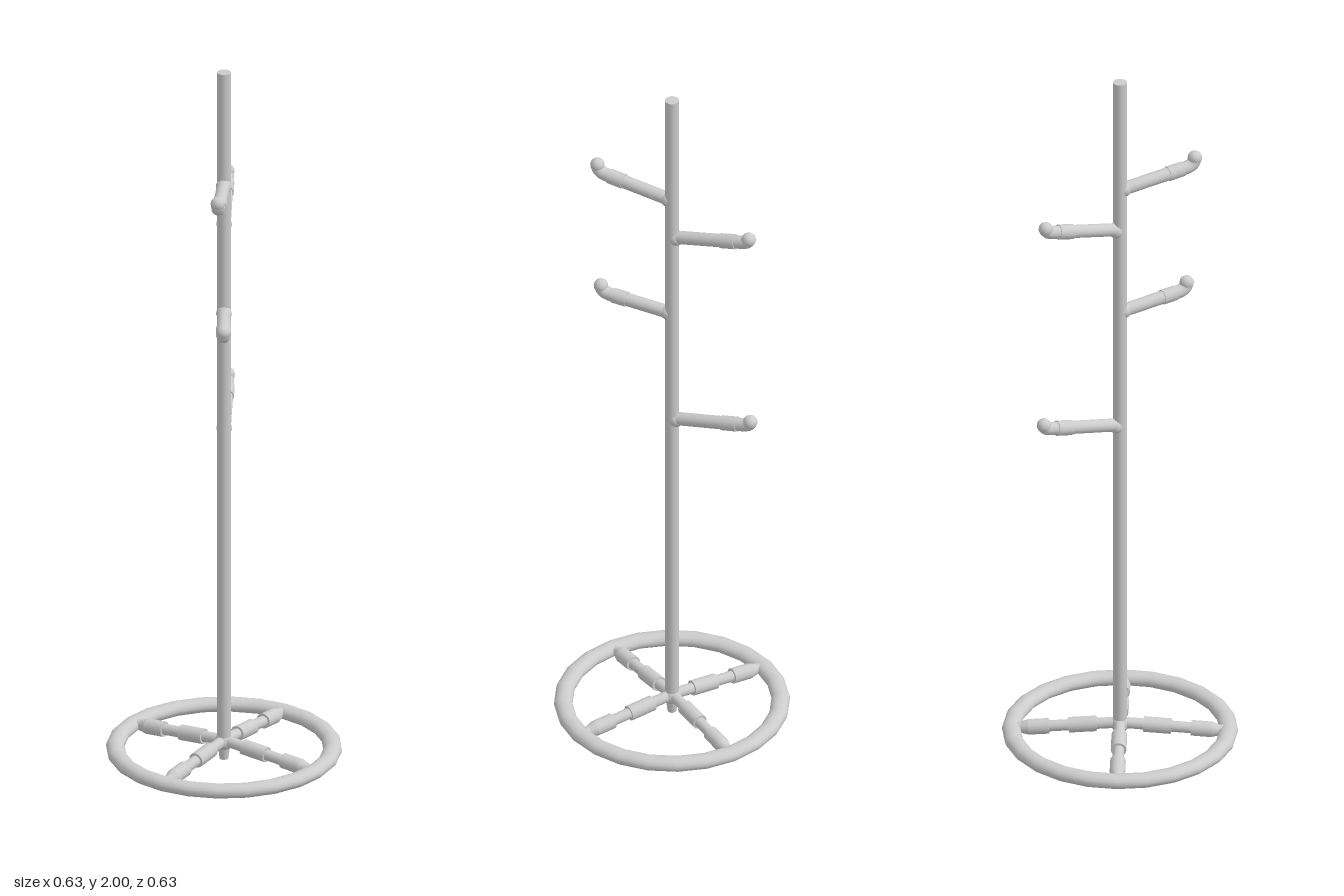
import * as THREE from 'three';

const material = new THREE.MeshStandardMaterial({ color: 0xcccccc });
const V = (x, y, z = 0) => new THREE.Vector3(x, y, z);

function add(parent, name, geometry) {
  const mesh = new THREE.Mesh(geometry, material);
  mesh.name = name;
  parent.add(mesh);
  return mesh;
}

// Straight bar between two points
function bar(parent, name, a, b, r1, r2 = r1) {
  const mesh = add(parent, name, new THREE.CylinderGeometry(r2, r1, a.distanceTo(b), 16));
  mesh.position.copy(a).lerp(b, 0.5);
  mesh.quaternion.setFromUnitVectors(V(0, 1, 0), b.clone().sub(a).normalize());
  return mesh;
}

function ball(parent, name, p, r) {
  add(parent, name, new THREE.SphereGeometry(r, 16, 12)).position.copy(p);
}

// Spoke running along +x, with two sleeves and a tapered end at the ring
function makeSpoke() {
  const spoke = new THREE.Group();
  spoke.name = 'spoke';
  const at = (r) => V(r, 0.053 - 0.075 * r);
  bar(spoke, 'spokeRod', at(0), at(0.28), 0.015);
  bar(spoke, 'innerSleeve', at(0.063), at(0.137), 0.021);
  bar(spoke, 'outerSleeve', at(0.19), at(0.245), 0.021);
  bar(spoke, 'spokeEnd', at(0.245), at(0.268), 0.021, 0.014);
  return spoke;
}

// Sloping arm with an upturned rounded tip, reaching towards (x, z)
function makeHook(x, z, yBase, yEnd, yTip) {
  const hook = new THREE.Group();
  hook.name = 'coatHook';
  const reach = Math.hypot(x, z);
  const bend = V(reach - 0.025, yEnd);
  const tip = V(reach, yTip - 0.018);
  const path = new THREE.CurvePath();
  path.add(new THREE.LineCurve3(V(0, yBase), bend));
  path.add(new THREE.QuadraticBezierCurve3(bend, V(reach, yEnd + 0.004), tip));
  add(hook, 'hookArm', new THREE.TubeGeometry(path, 40, 0.018, 14));
  ball(hook, 'hookTip', tip, 0.0195);
  ball(hook, 'hookJoint', V(0.012, yBase), 0.021);
  const along = (t) => V(0, yBase).lerp(bend, t);
  bar(hook, 'hookSleeve', along(0.72), along(0.94), 0.0205);
  hook.rotation.y = Math.atan2(-z, x);
  return hook;
}

export function createModel() {
  const model = new THREE.Group();
  model.name = 'coatStand';

  // Base ring, slightly flattened
  const ring = add(model, 'baseRing', new THREE.TorusGeometry(0.291, 0.025, 14, 24));
  ring.rotation.x = Math.PI / 2;
  ring.scale.z = 0.78;
  ring.position.y = 0.031;

  // Four spokes meeting at the hub
  for (let i = 0; i < 4; i++) {
    const spoke = makeSpoke();
    spoke.rotation.y = i * Math.PI / 2;
    model.add(spoke);
  }
  ball(model, 'hub', V(0, 0.05, 0), 0.025);
  bar(model, 'foot', V(0, 0, 0), V(0, 0.05, 0), 0.012, 0.018);

  // Upright pole
  bar(model, 'pole', V(0, 0.04, 0), V(0, 2, 0), 0.019);

  // Hooks alternating between the two sides: x, z, base, end and tip heights
  [
    [0.11, 0.197, 1.672, 1.69, 1.732],
    [-0.118, -0.195, 1.552, 1.598, 1.632],
    [0.113, 0.175, 1.302, 1.311, 1.35],
    [-0.12, -0.2, 0.958, 1.002, 1.036],
  ].forEach((h) => model.add(makeHook(...h)));

  return model;
}
